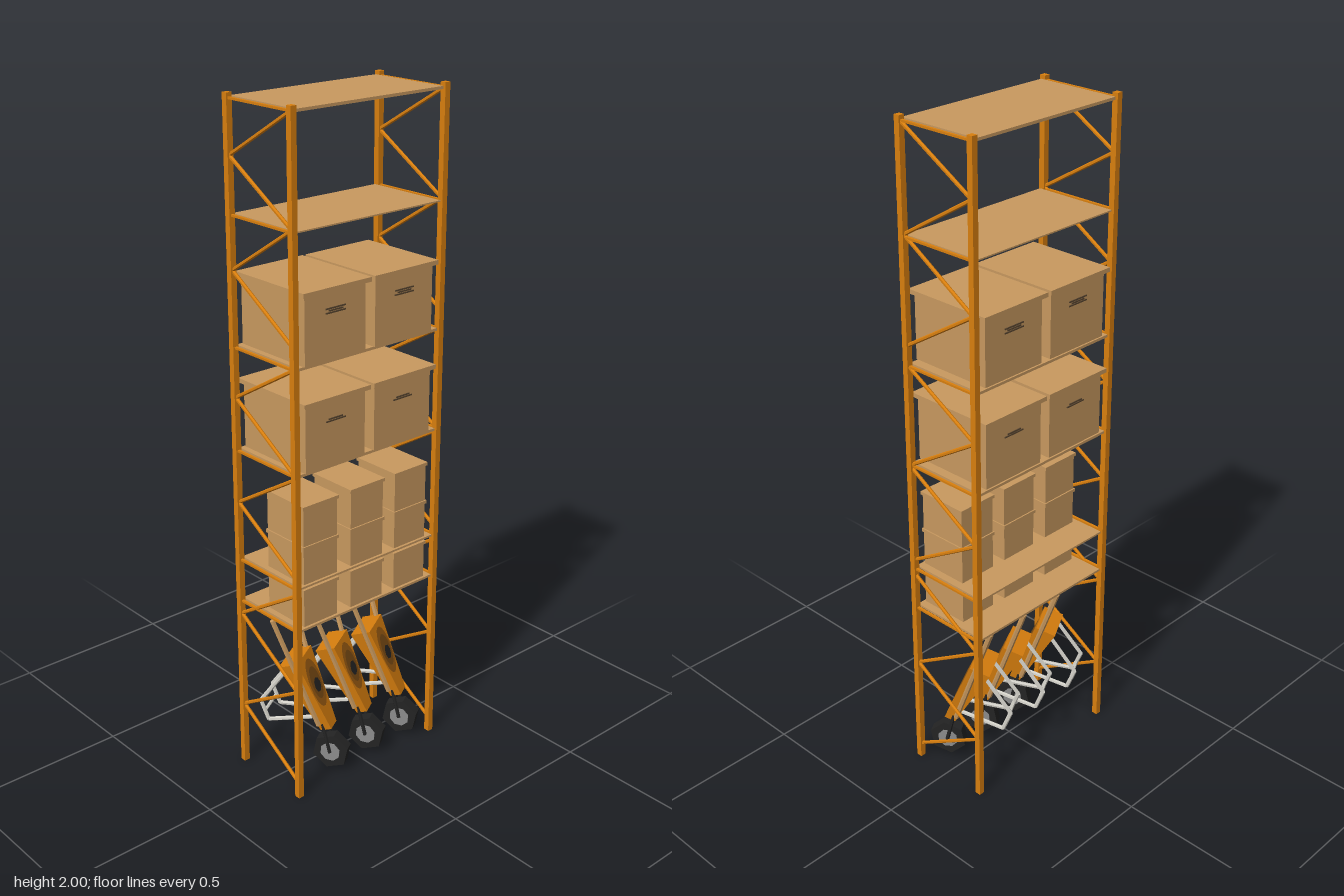
import * as THREE from 'three';

const mat = (name, color, double = false) => {
  const m = new THREE.MeshStandardMaterial({ color, flatShading: true });
  m.name = name;
  if (double) m.side = THREE.DoubleSide;
  return m;
};

export function createModel() {
  const orange = mat('orange paint', 0xd97f0e);
  const tan = mat('cardboard and wood', 0xc8995f);
  const slot = mat('handle slot brown', 0x5a4630);
  const black = mat('rubber black', 0x242424);
  const grey = mat('hub grey', 0x8c8c8c);
  const silver = mat('leg silver', 0xd2d0c8);
  const bowl = mat('tray shadow brown', 0x9c5d12, true);
  const bowlDeep = mat('tray deep brown', 0x7c4c14, true);

  const model = new THREE.Group();
  model.name = 'storageRack';

  const add = (parent, name, geo, material, x = 0, y = 0, z = 0) => {
    const m = new THREE.Mesh(geo, material);
    m.name = name;
    m.position.set(x, y, z);
    parent.add(m);
    return m;
  };
  const box = (parent, name, material, w, h, d, x, y, z) =>
    add(parent, name, new THREE.BoxGeometry(w, h, d), material, x, y, z);

  // Straight bar between two points
  const bar = (parent, name, material, a, b, r, sides = 6) => {
    const p = new THREE.Vector3(...a), q = new THREE.Vector3(...b);
    const dir = q.clone().sub(p);
    const m = add(parent, name, new THREE.CylinderGeometry(r, r, dir.length(), sides), material);
    m.position.copy(p).add(q).multiplyScalar(0.5);
    m.quaternion.setFromUnitVectors(new THREE.Vector3(0, 1, 0), dir.normalize());
    return m;
  };

  // Corner posts
  for (const x of [-0.264, 0.264])
    for (const z of [-0.133, 0.121]) box(model, 'post', orange, 0.018, 2, 0.018, x, 1, z);

  // Zigzag bracing on both ends: runs of front/back heights
  const runs = [
    [1.985, 1.84, 1.69, 1.535, 1.38],
    [1.32, 1.175, 1.02],
    [1.01, 0.86, 0.71],
    [0.66, 0.505, 0.35, 0.198, 0.045],
  ];
  for (const x of [-0.264, 0.264])
    for (const run of runs)
      for (let i = 0; i < run.length - 1; i++) {
        const z = i % 2 ? -0.13 : 0.118;
        bar(model, 'brace', orange, [x, run[i], z], [x, run[i + 1], -0.012 - z], 0.0055);
      }

  // Shelves
  const shelves = [[1.986, 0.008], [1.684, 0.004], [1.32, 0.008], [1.018, 0.008], [0.68, 0.006], [0.547, 0.007]];
  for (const [y, t] of shelves) {
    box(model, 'shelf', tan, 0.506, t, 0.26, 0, y, -0.006);
    for (const x of [-0.264, 0.264]) box(model, 'shelfSupport', orange, 0.008, 0.006, 0.24, x, y, -0.006);
  }

  // Lidded carton standing on height y
  const carton = (name, w, h, d, lip, x, y, z, lid) => {
    const g = new THREE.Group();
    g.name = name;
    g.position.set(x, y, z);
    model.add(g);
    box(g, 'cartonBody', tan, w, h - lid, d, 0, (h - lid) / 2, 0);
    box(g, 'cartonLid', tan, w + lip * 2, lid, d + lip * 2, 0, h - lid / 2, 0);
    return g;
  };

  // Large cartons with hand slots front and back
  for (const [y, rows] of [[1.022, 2], [1.324, 3]])
    for (const x of [-0.129, 0.118]) {
      const g = carton('largeCarton', 0.212, 0.203, 0.26, 0.0115, x, y, -0.001, 0.013);
      for (const z of [-0.1305, 0.1305])
        for (let i = 0; i < rows; i++)
          box(g, 'handSlot', slot, i === 1 ? 0.05 : 0.07, 0.004, 0.004, 0, 0.131 + i * 0.006, z);
    }

  // Small cartons: one layer on the lower shelf, two on the next
  for (const [y, h] of [[0.551, 0.117], [0.683, 0.117], [0.8, 0.121]])
    for (const x of [-0.174, -0.001, 0.168])
      carton('smallCarton', 0.122, h, 0.155, 0.004, x, y, 0.039, 0.01);

  // Wheelbarrows standing upright on their wheels
  const makeBarrow = () => {
    const outer = new THREE.Group();
    outer.name = 'wheelbarrow';
    outer.rotation.y = Math.PI / 6;
    const g = new THREE.Group();
    g.name = 'wheelbarrowFrame';
    g.rotation.x = -0.326;
    outer.add(g);

    // Wheel and hub
    add(g, 'tyre', new THREE.CylinderGeometry(0.057, 0.057, 0.034, 6), black).rotation.z = Math.PI / 2;
    add(g, 'hub', new THREE.CylinderGeometry(0.031, 0.031, 0.04, 8), grey).rotation.z = Math.PI / 2;

    // Tapered tray
    const geo = new THREE.BoxGeometry(0.12, 0.24, 0.062);
    const p = geo.attributes.position;
    for (let i = 0; i < p.count; i++)
      if (p.getY(i) < 0) {
        p.setX(i, p.getX(i) * 0.4);
        p.setZ(i, p.getZ(i) * 0.55 + 0.03);
      }
    geo.computeVertexNormals();
    add(g, 'tray', geo, orange, 0, 0.198, -0.014);

    // Hollow of the tray, lying on its sloping open face
    const hollow = new THREE.Group();
    hollow.name = 'trayHollow';
    hollow.position.set(0, 0.225, 0.0235);
    hollow.rotation.x = -Math.atan2(0.016, 0.24);
    g.add(hollow);
    const disc = (name, m, rx, ry, y, z, sides) =>
      add(hollow, name, new THREE.CircleGeometry(1, sides), m, 0, y, z).scale.set(rx, ry, 1);
    disc('hollowRim', bowl, 0.041, 0.078, 0, 0.001, 20);
    disc('hollowFloor', bowlDeep, 0.03, 0.052, 0, 0.002, 20);
    disc('hollowCentre', black, 0.02, 0.023, -0.008, 0.003, 8);

    for (const s of [-1, 1]) {
      // Fork, handle and bent leg on each side
      bar(g, 'fork', black, [s * 0.022, 0, 0], [s * 0.022, 0.1, 0.01], 0.006);
      bar(g, 'handle', tan, [s * 0.03, 0.1, 0], [s * 0.08, 0.478, 0], 0.008);
      const leg = [[0.045, 0.3, -0.03], [0.048, 0.215, -0.145], [0.048, 0.15, -0.142], [0.03, 0.13, -0.01]];
      for (let i = 0; i < 3; i++) {
        const [a, b] = [leg[i], leg[i + 1]].map(([x, y, z]) => [s * x, y, z]);
        bar(g, 'leg', silver, a, b, 0.0065);
      }
    }
    bar(g, 'legCrossbar', silver, [-0.048, 0.18, -0.143], [0.048, 0.18, -0.143], 0.005);
    return outer;
  };
  for (const x of [-0.093, 0.05, 0.192]) {
    const b = makeBarrow();
    b.position.set(x, 0.062, 0.07);
    model.add(b);
  }

  return model;
}
